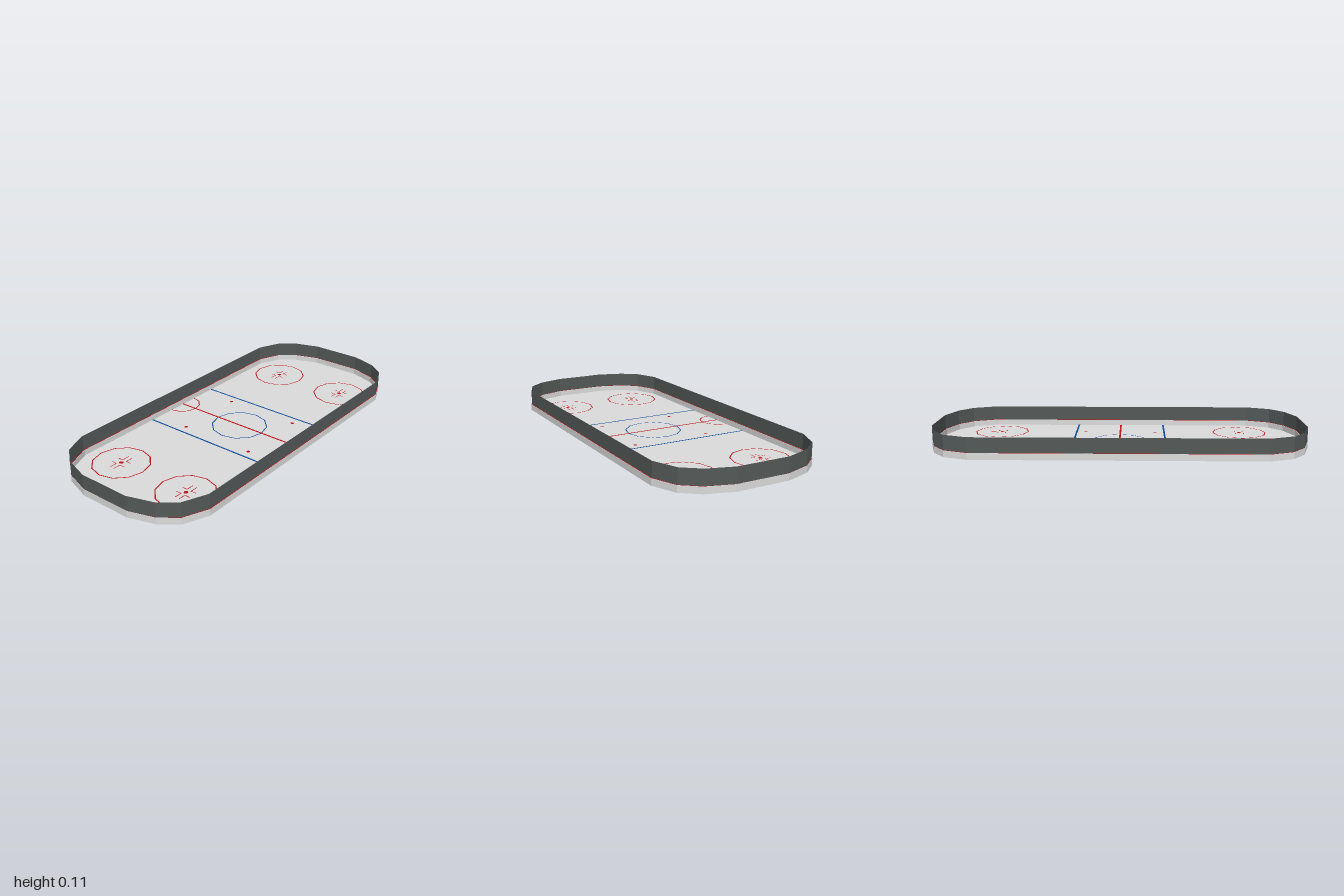
import * as THREE from 'three';

const mat = (name, color) => {
  const m = new THREE.MeshStandardMaterial({ color, flatShading: true });
  m.name = name;
  return m;
};

// Half outline of one rounded corner, as fractions of half width and half length
const CORNER = [[1, 0.755], [0.872, 0.885], [0.665, 0.955], [0.335, 1]];

// Closed rink outline scaled to a half width and half length
function outline(w, l) {
  const quarter = CORNER.map(([x, z]) => [x * w, z * l]);
  const back = [...quarter].reverse();
  return [
    ...quarter,
    ...back.map(([x, z]) => [-x, z]),
    ...quarter.map(([x, z]) => [-x, -z]),
    ...back.map(([x, z]) => [x, -z]),
  ].map(([x, z]) => new THREE.Vector2(x, z));
}

// Upright slab or ring following the rink outline
function slab(outer, inner, y, height) {
  const shape = new THREE.Shape(outline(...outer));
  if (inner) shape.holes.push(new THREE.Path(outline(...inner)));
  const geo = new THREE.ExtrudeGeometry(shape, { depth: height, bevelEnabled: false });
  return geo.rotateX(-Math.PI / 2).translate(0, y, 0);
}

export function createModel() {
  const group = new THREE.Group();
  group.name = 'iceRink';
  const white = mat('iceWhite', 0xdcdcdc);
  const dark = mat('darkGlass', 0x545a59);
  const red = mat('lineRed', 0xbe1014);
  const blue = mat('lineBlue', 0x104a9c);

  const add = (name, geo, material) => {
    const mesh = new THREE.Mesh(geo, material);
    mesh.name = name;
    group.add(mesh);
  };

  // Ice floor, low boards, red rim and the dark surround
  add('ice', slab([0.426, 0.996], null, 0.001, 0.003), white);
  add('boards', slab([0.43, 1], [0.42, 0.993], 0, 0.035), white);
  add('boardRim', slab([0.429, 0.9985], [0.421, 0.996], 0.035, 0.001), red);
  add('surround', slab([0.426, 0.999], [0.4245, 0.9975], 0.0355, 0.0795), dark);

  // Flat painted markings lying on the ice
  const paint = (name, geo, material, x, z, y = 0.005) =>
    add(name, geo.rotateX(-Math.PI / 2).translate(x, y, z), material);
  const strip = (name, w, l, material, x, z, y) =>
    paint(name, new THREE.PlaneGeometry(w, l), material, x, z, y);
  const circle = (name, r, material, x, z) =>
    paint(name, new THREE.RingGeometry(r - 0.006, r, 12), material, x, z);
  const dot = (name, r, x, z) =>
    paint(name, new THREE.CircleGeometry(r, 8), red, x, z);

  // Lines across the ice
  strip('centreLine', 0.84, 0.01, red, 0, 0, 0.0055);
  for (const s of [-1, 1]) strip('zoneLine', 0.84, 0.01, blue, 0, s * 0.253);

  // Centre circle and the half circle by the right boards
  circle('centreCircle', 0.155, blue, 0, 0);
  paint('refereeCrease',
    new THREE.RingGeometry(0.094, 0.1, 6, 1, -Math.PI / 2, Math.PI), red, -0.42, 0);

  for (const sx of [-1, 1]) {
    for (const sz of [-1, 1]) {
      // Neutral zone dot
      dot('neutralDot', 0.01, sx * 0.217, sz * 0.2);

      // End zone circle with its dot and four corner-shaped hash marks
      const x = sx * 0.22, z = sz * 0.686;
      circle('faceOffCircle', 0.154, red, x, z);
      dot('faceOffDot', 0.012, x, z);
      for (const hx of [-1, 1]) {
        for (const hz of [-1, 1]) {
          strip('hashLong', 0.004, 0.043, red, x + hx * 0.013, z + hz * 0.0415);
          strip('hashShort', 0.03, 0.004, red, x + hx * 0.028, z + hz * 0.022);
        }
      }
    }
  }
  return group;
}
